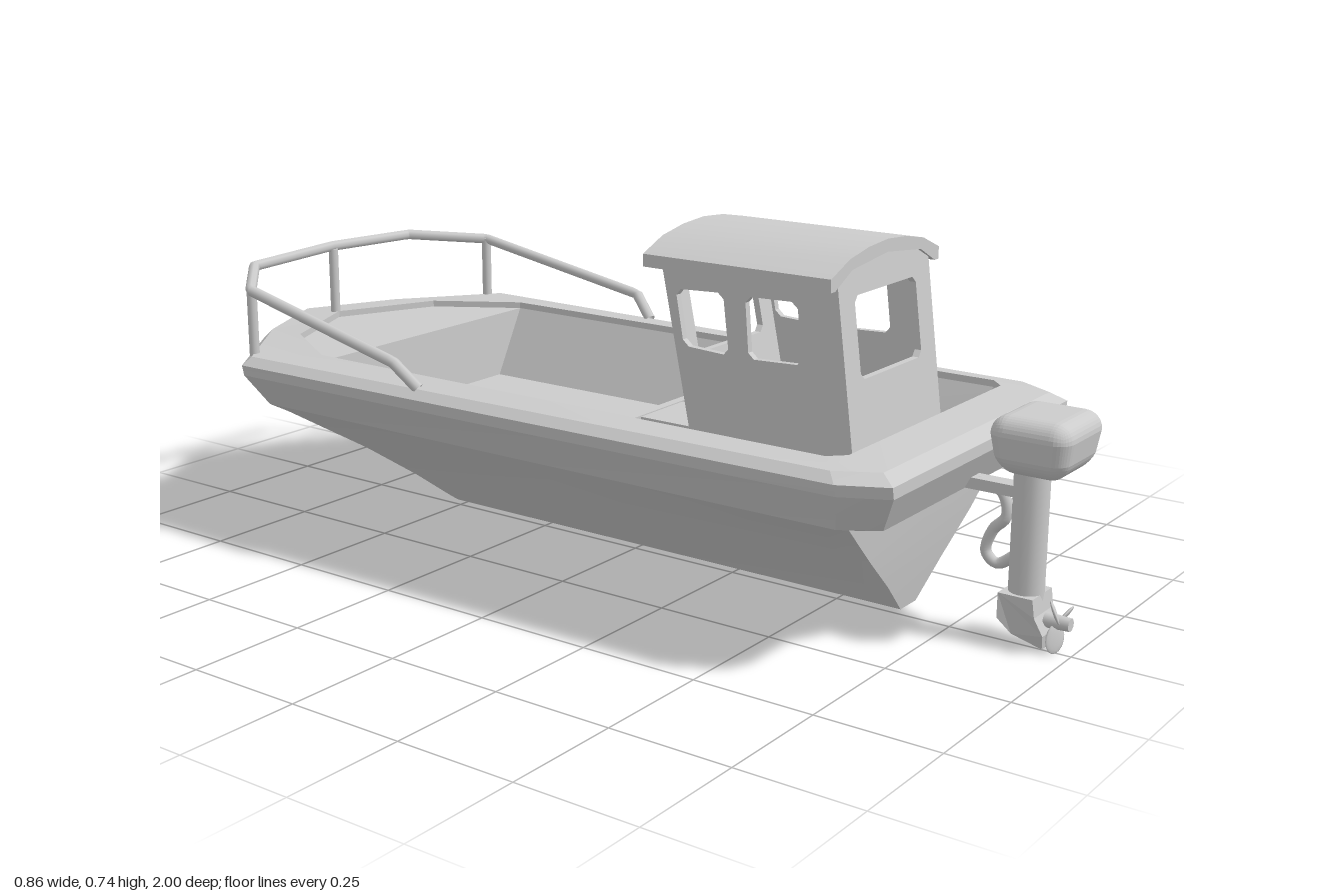
import * as THREE from 'three';
import { toCreasedNormals } from 'three/addons/utils/BufferGeometryUtils.js';
import { RoundedBoxGeometry } from 'three/addons/geometries/RoundedBoxGeometry.js';

const grey = new THREE.MeshStandardMaterial({ color: 0xcccccc, side: THREE.DoubleSide });
const v3 = (p) => new THREE.Vector3(...p);

function add(parent, name, geometry, x = 0, y = 0, z = 0) {
  const mesh = new THREE.Mesh(geometry, grey);
  mesh.name = name;
  mesh.position.set(x, y, z);
  parent.add(mesh);
  return mesh;
}

// Closed loop from a half outline (stern centre -> bow centre), mirrored over x = 0
function loop(half) {
  const mirrored = half.slice(1, -1).reverse().map(([x, y, z]) => [-x, y, z]);
  return [...half, ...mirrored];
}
const level = (y, pts) => loop(pts.map(([x, z, yy = y]) => [x, yy, z]));

// Skin between successive loops, running from the inside out and down
function skin(loops, crease) {
  const pos = [];
  const tri = (...t) => {
    const [a, b, c] = t.map(v3);
    if (b.sub(a).cross(c.sub(a)).length() > 1e-8) pos.push(...t.flat());
  };
  for (let k = 0; k + 1 < loops.length; k++) {
    const A = loops[k], B = loops[k + 1];
    for (let i = 0; i < A.length; i++) {
      const j = (i + 1) % A.length;
      tri(B[i], B[j], A[j]);
      tri(B[i], A[j], A[i]);
    }
  }
  const g = new THREE.BufferGeometry();
  g.setAttribute('position', new THREE.Float32BufferAttribute(pos, 3));
  return toCreasedNormals(g, crease);
}

// Polygon with its corners cut off by c
function chamfered(pts, c) {
  const p = pts.map(([x, y]) => new THREE.Vector2(x, y));
  return p.flatMap((q, i) => [p.at(i - 1), p[(i + 1) % p.length]].map(
    (n) => n.clone().sub(q).setLength(c).add(q)));
}

function panel(outline, holes, depth) {
  const shape = new THREE.Shape(outline.map(([x, y]) => new THREE.Vector2(x, y)));
  for (const h of holes) shape.holes.push(new THREE.Path(chamfered(h, 0.012)));
  return new THREE.ExtrudeGeometry(shape, { depth, bevelEnabled: false });
}

function polyTube(points, radius, segments) {
  const path = new THREE.CurvePath();
  for (let i = 0; i + 1 < points.length; i++) {
    path.add(new THREE.LineCurve3(v3(points[i]), v3(points[i + 1])));
  }
  return new THREE.TubeGeometry(path, segments, radius, 8);
}

// Move every vertex by a rule
function reshape(g, rule) {
  const p = g.attributes.position, v = new THREE.Vector3();
  for (let i = 0; i < p.count; i++) {
    rule(v.fromBufferAttribute(p, i));
    p.setXYZ(i, v.x, v.y, v.z);
  }
  g.computeVertexNormals();
  return g;
}

function buildHull(boat) {
  const inner = [[0, 0.69], [0.3, 0.69], [0.33, 0.66], [0.33, 0], [0.33, -0.59]];
  const deck = [...inner, [0.22, -0.77], [0, -0.87]];
  // Inside: floor, well sides, foredeck and its low lip
  add(boat, 'wellAndForedeck', skin([
    level(0.24, [[0, 0.66], [0, 0.66], [0, 0.6], [0, 0], [0, -0.59], [0, -0.59], [0, -0.59]]),
    level(0.24, [[0, 0.66], [0.25, 0.66], [0.25, 0.6], [0.25, 0], [0.25, -0.59], [0.12, -0.59], [0, -0.59]]),
    level(0.388, [...inner, [0.16, -0.59], [0, -0.59]]),
    level(0.388, deck),
    level(0.402, deck),
  ], 0.3));
  // Gunwale and the slanting band below it
  const bandFoot = level(0.28, [[0, 0.77], [0.31, 0.77], [0.355, 0.7], [0.36, 0], [0.365, -0.72], [0.18, -0.89], [0, -0.995, 0.29]]);
  add(boat, 'gunwale', skin([
    level(0.402, deck),
    level(0.395, [[0, 0.78], [0.335, 0.78], [0.38, 0.7], [0.395, 0], [0.41, -0.72], [0.2, -0.88], [0, -0.975]]),
    level(0.378, [[0, 0.81], [0.355, 0.81], [0.4, 0.72], [0.415, 0], [0.43, -0.73], [0.21, -0.895], [0, -1]]),
    level(0.355, [[0, 0.81], [0.35, 0.81], [0.395, 0.72], [0.412, 0], [0.425, -0.73], [0.205, -0.895], [0, -1]]),
    bandFoot,
  ], 0.25));
  // V-shaped bottom with its transom and raked stem
  add(boat, 'hullBottom', skin([
    bandFoot,
    level(0.263, [[0, 0.695], [0.3, 0.695], [0.325, 0.66], [0.335, 0], [0.34, -0.69], [0.165, -0.86], [0, -0.955]]),
    level(0.17, [[0, 0.685], [0.2, 0.685], [0.205, 0.62], [0.215, 0], [0.215, -0.58], [0.1, -0.73], [0, -0.8]]),
    level(0.09, [[0, 0.672], [0.105, 0.672], [0.11, 0.62], [0.115, 0], [0.11, -0.53], [0.05, -0.62], [0, -0.665]]),
    level(0.02, [[0, 0.66], [0.03, 0.66], [0.03, 0.62], [0.03, 0], [0.03, -0.48], [0.015, -0.52], [0, -0.54]]),
    level(0.02, [[0, 0.66], [0, 0.66], [0, 0.62], [0, 0], [0, -0.48], [0, -0.52], [0, -0.54]]),
  ], 0.55));
}

function buildCabin(boat) {
  const cabin = new THREE.Group();
  cabin.name = 'cabin';
  cabin.position.x = 0.007;
  boat.add(cabin);

  // Low plinth with two hatches ahead of the cabin
  add(cabin, 'plinth', new THREE.BoxGeometry(0.46, 0.04, 0.67), 0, 0.255, 0.315);
  add(cabin, 'plinthLip', new THREE.BoxGeometry(0.46, 0.012, 0.02), 0, 0.281, -0.01);
  for (const s of [-1, 1]) {
    add(cabin, 'hatch', new THREE.BoxGeometry(0.15, 0.014, 0.16), s * 0.088 - 0.007, 0.28, 0.085);
  }

  // End walls leaning with height
  const half = 0.172, t = 0.014;
  const endOutline = [[-half, 0.26], [half, 0.26], [half, 0.675], [0.12, 0.702], [0, 0.712], [-0.12, 0.702], [-half, 0.675]];
  const endWindow = [[-0.118, 0.485], [0.115, 0.485], [0.115, 0.642], [-0.118, 0.642]];
  const aftZ = (y) => 0.632 - (y - 0.27) * 0.13;
  const foreZ = (y) => 0.27 - (y - 0.27) * 0.21;
  add(cabin, 'aftWall', reshape(panel(endOutline, [endWindow], t), (v) => { v.z += aftZ(v.y) - t; }));
  add(cabin, 'foreWall', reshape(panel(endOutline, [endWindow], t), (v) => { v.z += foreZ(v.y); }));

  // Side walls with two slanted windows each
  const sideOutline = [[foreZ(0.26), 0.26], [aftZ(0.26), 0.26], [aftZ(0.68), 0.68], [foreZ(0.68), 0.68]];
  const sideWindows = [
    [[0.39, 0.505], [0.51, 0.51], [0.495, 0.628], [0.38, 0.625]],
    [[0.24, 0.51], [0.345, 0.505], [0.33, 0.625], [0.22, 0.62]],
  ];
  for (const s of [-1, 1]) {
    const g = panel(sideOutline, sideWindows, t).rotateY(-Math.PI / 2);
    add(cabin, s > 0 ? 'leftWall' : 'rightWall', g, s > 0 ? half + 0.001 : t - half - 0.001);
  }

  // Arched roof
  const top = [[-0.205, 0.687], [-0.14, 0.714], [-0.07, 0.727], [0, 0.732], [0.07, 0.727], [0.14, 0.714], [0.205, 0.687]];
  const under = [[0.205, 0.662], [0.19, 0.662], [0.13, 0.693], [0, 0.707], [-0.13, 0.693], [-0.19, 0.662], [-0.205, 0.662]];
  add(cabin, 'roof', toCreasedNormals(panel([...top, ...under], [], 0.42), 0.5), 0, 0, 0.165);
}

function buildRail(boat) {
  const side = [[0.395, 0.395, -0.25], [0.412, 0.445, -0.3], [0.385, 0.533, -0.74], [0.25, 0.549, -0.875], [0, 0.556, -0.885]];
  const mirrored = side.slice(0, -1).reverse().map(([x, y, z]) => [-x, y, z]);
  add(boat, 'bowRail', polyTube([...side, ...mirrored], 0.012, 160));
  for (const [x, z, h] of [[-0.383, -0.74, 0.145], [0, -0.88, 0.16], [0.383, -0.74, 0.145]]) {
    add(boat, 'railPost', new THREE.CylinderGeometry(0.011, 0.011, h, 10), x, 0.39 + h / 2, z);
  }
}

function buildOutboard(boat) {
  const motor = new THREE.Group();
  motor.name = 'outboardMotor';
  motor.position.x = 0.014;
  boat.add(motor);

  // Cowl, narrowing towards its foot
  const cowl = new RoundedBoxGeometry(0.182, 0.112, 0.16, 4, 0.035);
  add(motor, 'cowl', reshape(cowl, (v) => {
    const k = 1 - 0.22 * Math.max(0, -v.y / 0.056);
    v.x *= k;
    v.z *= k;
  }), 0, 0.393, 0.92);
  add(motor, 'leg', new THREE.CylinderGeometry(0.034, 0.034, 0.27, 16), 0, 0.215, 0.898);

  // Gearcase with a skeg
  const gear = panel([[0.86, 0.1], [0.86, 0.05], [0.885, 0.02], [0.945, 0], [0.95, 0.03], [0.935, 0.065], [0.93, 0.1]], [], 0.08);
  gear.rotateY(-Math.PI / 2).translate(0.04, 0, 0);
  add(motor, 'gearcase', reshape(gear, (v) => { v.x *= 0.55 + 0.5 * Math.min(1, v.y / 0.05); }));

  // Propeller
  const propeller = new THREE.Group();
  propeller.name = 'propeller';
  propeller.position.set(0, 0.052, 0.965);
  motor.add(propeller);
  add(propeller, 'hub', new THREE.CylinderGeometry(0.013, 0.015, 0.05, 12).rotateX(Math.PI / 2));
  for (let i = 0; i < 3; i++) {
    const blade = new THREE.SphereGeometry(1, 12, 8).scale(0.02, 0.029, 0.004);
    blade.rotateY(0.6).translate(0, 0.031, 0).rotateZ(0.65 + i * Math.PI * 2 / 3);
    add(propeller, 'blade', blade);
  }

  // Mount on the transom and curved steering pipe
  add(motor, 'mount', new THREE.BoxGeometry(0.035, 0.022, 0.12), 0, 0.292, 0.82);
  const pipe = new THREE.CatmullRomCurve3([[0, 0.295, 0.79], [0, 0.28, 0.84], [0, 0.235, 0.85], [0, 0.205, 0.825],
    [0, 0.16, 0.812], [0, 0.14, 0.835], [0, 0.165, 0.875]].map((p) => v3([p[0], p[1], p[2]])));
  add(motor, 'steeringPipe', new THREE.TubeGeometry(pipe, 40, 0.011, 8));
}

export function createModel() {
  const boat = new THREE.Group();
  boat.name = 'boat';
  buildHull(boat);
  buildCabin(boat);
  buildRail(boat);
  buildOutboard(boat);
  return boat;
}
